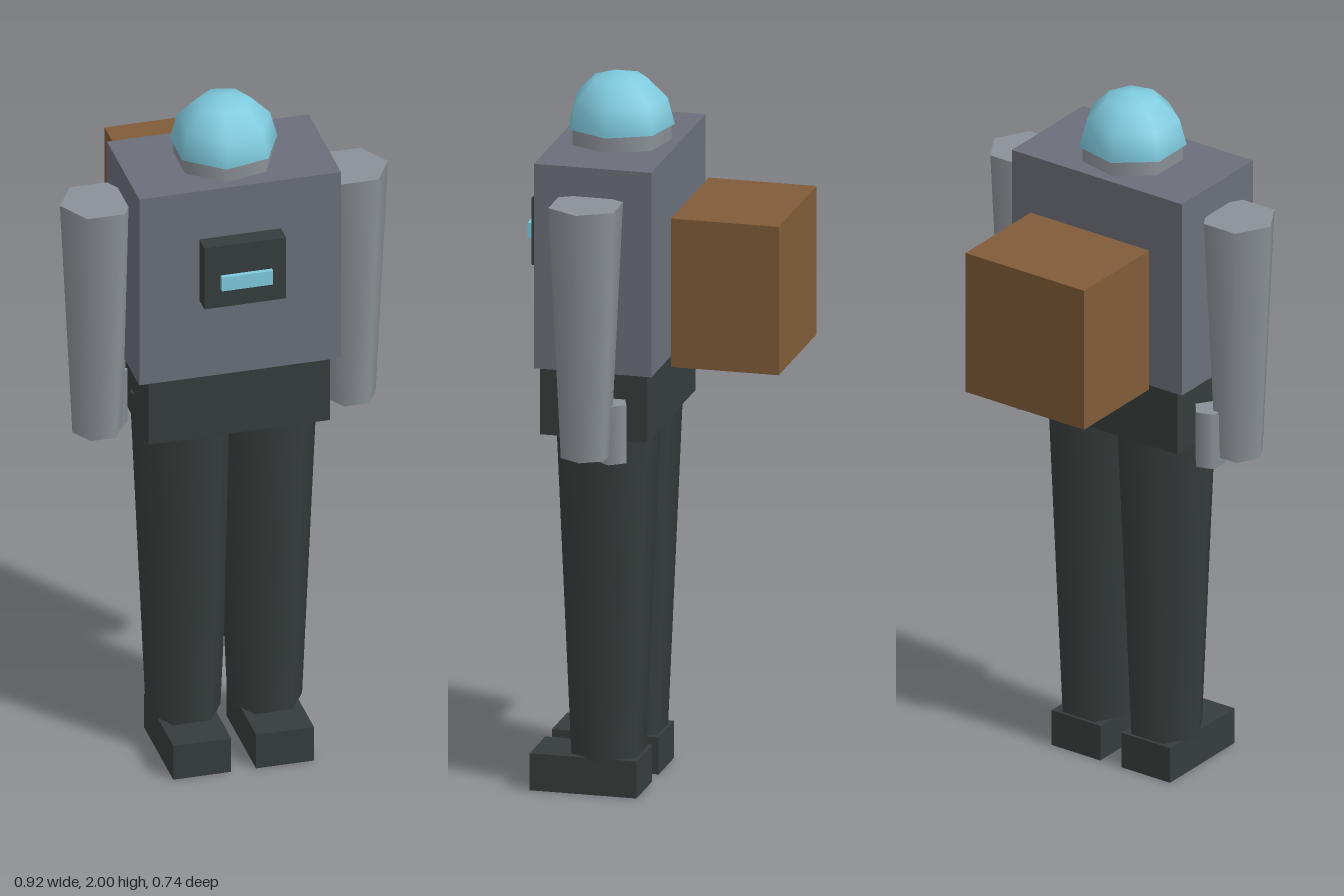
import * as THREE from 'three';

const material = (name, color) => {
  const m = new THREE.MeshStandardMaterial({ color });
  m.name = name;
  return m;
};

export function createModel() {
  const model = new THREE.Group();
  model.name = 'suitedFigure';

  const suitGrey = material('suitGrey', 0x6b6f79);
  const limbGrey = material('limbGrey', 0x8b9197);
  const charcoal = material('charcoal', 0x363d3c);
  const brown = material('packBrown', 0x805c39);
  const glass = material('glassBlue', 0x80cbdf);
  const bodyZ = 0.13;

  const add = (name, geometry, mat, x, y, z) => {
    const mesh = new THREE.Mesh(geometry, mat);
    mesh.name = name;
    mesh.position.set(x, y, z);
    model.add(mesh);
  };

  // Box given by its lower and upper limits on each axis
  const box = (name, mat, [x0, x1], [y0, y1], [z0, z1]) =>
    add(name, new THREE.BoxGeometry(x1 - x0, y1 - y0, z1 - z0), mat,
      (x0 + x1) / 2, (y0 + y1) / 2, (z0 + z1) / 2);

  // Upright tapered prism with one corner pointing to +x
  const prism = (name, mat, rTop, rBottom, sides, x, y0, y1, z) =>
    add(name, new THREE.CylinderGeometry(rTop, rBottom, y1 - y0, sides, 1, false, Math.PI / 2),
      mat, x, (y0 + y1) / 2, z);

  // Trunk
  box('torso', suitGrey, [-0.284, 0.284], [1.225, 1.805], [-0.035, 0.295]);
  box('hips', charcoal, [-0.255, 0.255], [1.03, 1.225], [-0.015, 0.285]);

  // Collar and domed helmet
  prism('collar', limbGrey, 0.14, 0.14, 7, 0, 1.79, 1.85, bodyZ);
  add('helmetDome', new THREE.SphereGeometry(0.15, 7, 3, Math.PI, Math.PI * 2, 0, Math.PI / 2),
    glass, 0, 1.85, bodyZ);
  const rim = new THREE.CircleGeometry(0.15, 7).rotateX(Math.PI / 2);
  add('helmetUnderside', rim, glass, 0, 1.85, bodyZ);

  // Chest unit with its floating display bar
  box('chestPanel', charcoal, [-0.115, 0.115], [1.465, 1.655], [0.285, 0.347]);
  box('chestDisplay', glass, [-0.072, 0.072], [1.527, 1.57], [0.357, 0.37]);

  // Backpack, set off from the back
  box('backpack', brown, [-0.198, 0.198], [1.232, 1.653], [-0.37, -0.067]);

  // Limbs
  for (const [label, s] of [['left', 1], ['right', -1]]) {
    prism(label + 'Arm', limbGrey, 0.105, 0.07, 6, s * 0.357, 1.01, 1.722, bodyZ);
    prism(label + 'Hand', limbGrey, 0.045, 0.045, 5, s * 0.3, 0.985, 1.15, 0.07);
    prism(label + 'Leg', charcoal, 0.15, 0.105, 6, s * 0.115, 0.1, 1.11, bodyZ);
    const footX = [s * 0.035, s * 0.198].sort((a, b) => a - b);
    box(label + 'Foot', charcoal, footX, [0, 0.105], [0.03, 0.33]);
  }

  return model;
}
